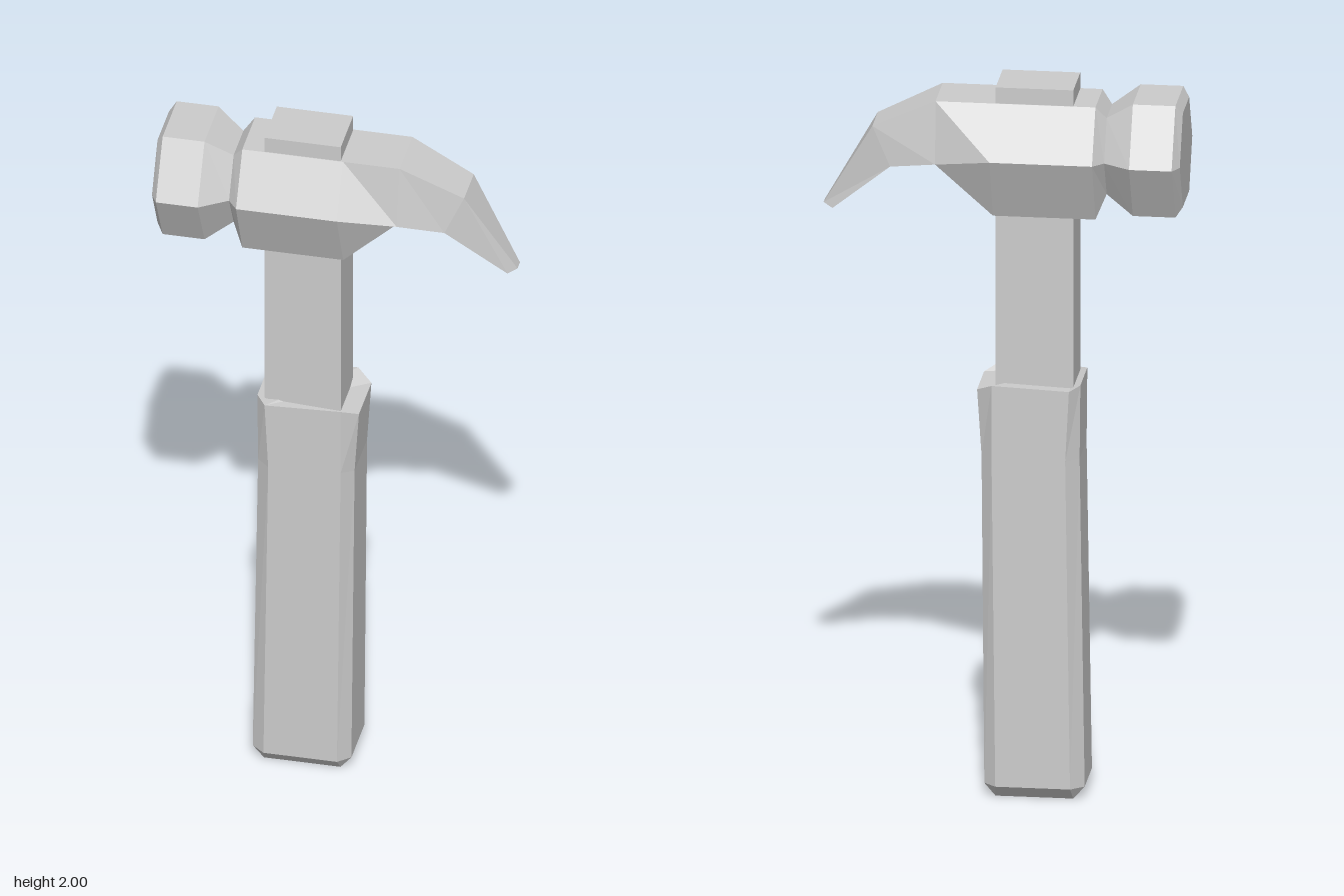
import * as THREE from 'three';

const material = new THREE.MeshStandardMaterial({ color: 0xcccccc, flatShading: true });

// Skin a list of equal-length rings and close both ends.
function loft(name, rings) {
  const n = rings[0].length, last = (rings.length - 1) * n, index = [];
  for (let r = 0; r < rings.length - 1; r++) {
    for (let i = 0; i < n; i++) {
      const a = r * n + i, b = r * n + (i + 1) % n;
      index.push(a, b, b + n, a, b + n, a + n);
    }
  }
  for (let i = 1; i < n - 1; i++) {
    index.push(0, i + 1, i, last, last + i, last + i + 1);
  }
  const indexed = new THREE.BufferGeometry();
  indexed.setAttribute('position', new THREE.Float32BufferAttribute(rings.flat(2), 3));
  indexed.setIndex(index);
  const geometry = indexed.toNonIndexed();
  geometry.computeVertexNormals();
  const mesh = new THREE.Mesh(geometry, material);
  mesh.name = name;
  return mesh;
}

// Six-sided section of the head; each level is [x, y, half depth].
function headRing(top, mid, bottom) {
  const levels = [top, mid, bottom];
  const front = levels.map(([x, y, z]) => [x, y, z]);
  const back = levels.map(([x, y, z]) => [x, y, -z]).reverse();
  return [...front, ...back];
}

// Upright hexagon at one x position.
const hexRing = (x, top, mid, bottom, zMid, zFlat) =>
  headRing([x, top, zFlat], [x, mid, zMid], [x, bottom, zFlat]);

// Chamfered rectangle of the grip; points run side, flat, flat, side as [x, y].
function gripRing(left, frontLeft, frontRight, right, zFlat, zSide) {
  const p = ([x, y], z) => [x, y, z];
  return [
    p(frontLeft, zFlat), p(frontRight, zFlat), p(right, zSide), p(right, -zSide),
    p(frontRight, -zFlat), p(frontLeft, -zFlat), p(left, -zSide), p(left, zSide),
  ];
}

export function createModel() {
  const group = new THREE.Group();
  group.name = 'hammer';

  // Striking face, neck, body and curved claw in one skin
  group.add(loft('head', [
    hexRing(-0.49, 1.945, 1.813, 1.68, 0.138, 0.07),
    hexRing(-0.472, 1.97, 1.813, 1.655, 0.172, 0.087),
    hexRing(-0.357, 1.97, 1.813, 1.655, 0.172, 0.087),
    hexRing(-0.283, 1.92, 1.81, 1.705, 0.117, 0.06),
    hexRing(-0.255, 1.955, 1.813, 1.638, 0.157, 0.079),
    hexRing(0.022, 1.955, 1.813, 1.638, 0.157, 0.079),
    headRing([0.177, 1.955, 0.079], [0.175, 1.785, 0.106], [0.175, 1.78, 0.08]),
    headRing([0.35, 1.872, 0.06], [0.3, 1.765, 0.078], [0.298, 1.763, 0.06]),
    headRing([0.487, 1.637, 0.015], [0.462, 1.625, 0.028], [0.461, 1.624, 0.02]),
  ]));

  // Shaft through the head
  const shaft = new THREE.Mesh(new THREE.BoxGeometry(0.21, 0.9, 0.154), material);
  shaft.name = 'shaft';
  shaft.position.set(-0.09, 1.55, 0);
  group.add(shaft);

  // Chamfered grip with a slight flare at the top
  group.add(loft('grip', [
    gripRing([-0.195, 0], [-0.195, 0], [0.015, 0], [0.015, 0], 0.08, 0.08),
    gripRing([-0.226, 0.035], [-0.19, 0.035], [0.012, 0.035], [0.045, 0.035], 0.11, 0.08),
    gripRing([-0.212, 0.96], [-0.177, 0.96], [0.022, 0.97], [0.053, 0.96], 0.11, 0.077),
    gripRing([-0.214, 1.167], [-0.187, 1.158], [0.022, 1.167], [0.065, 1.145], 0.11, 0.077),
  ]));

  return group;
}
